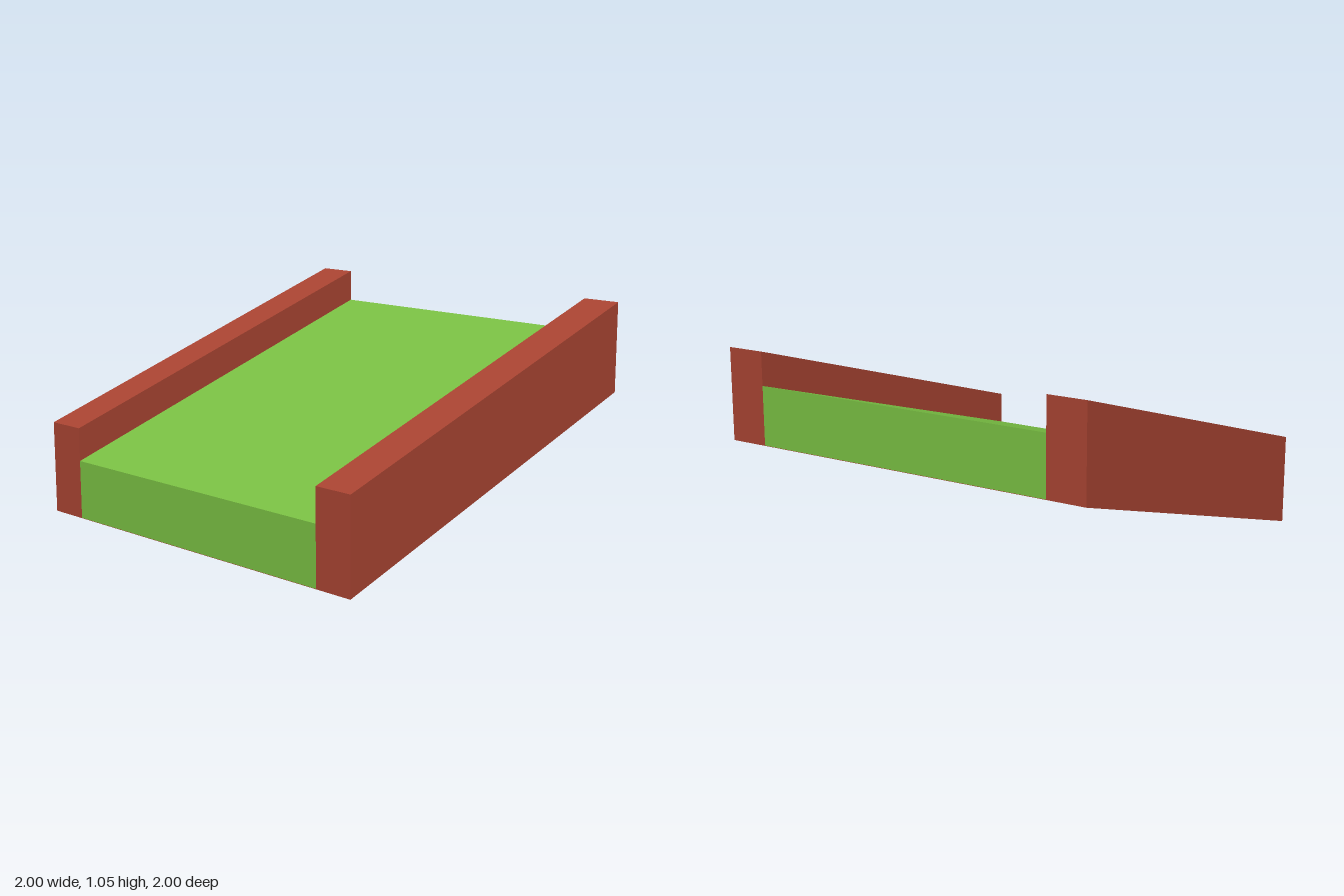
import * as THREE from 'three';

const RISE = 0.588; // climb from the front edge to the back edge

// Box whose base starts at y0 on the front edge, sheared upward towards the back
function slopedBox(name, color, width, height, x, y0) {
  const geometry = new THREE.BoxGeometry(width, height, 2);
  geometry.translate(x, y0 + height / 2, 0);
  const pos = geometry.attributes.position;
  for (let i = 0; i < pos.count; i++) {
    pos.setY(i, pos.getY(i) + RISE * (1 - pos.getZ(i)) / 2);
  }
  geometry.computeVertexNormals();
  const mesh = new THREE.Mesh(geometry, new THREE.MeshStandardMaterial({ color, flatShading: true }));
  mesh.name = name;
  return mesh;
}

export function createModel() {
  const group = new THREE.Group();
  group.name = 'slopedTrack';
  const red = 0xa94432, green = 0x7ac043;
  const skin = 0.002;

  // Thin red underside spanning the full width
  group.add(slopedBox('underside', red, 2, skin, 0, 0));

  // Green running surface
  group.add(slopedBox('trackBed', green, 1.6, 0.294 - skin, 0, skin));

  // Raised side walls
  for (const side of [-1, 1]) {
    group.add(slopedBox(side > 0 ? 'leftWall' : 'rightWall', red, 0.2, 0.46 - skin, side * 0.9, skin));
  }
  return group;
}
